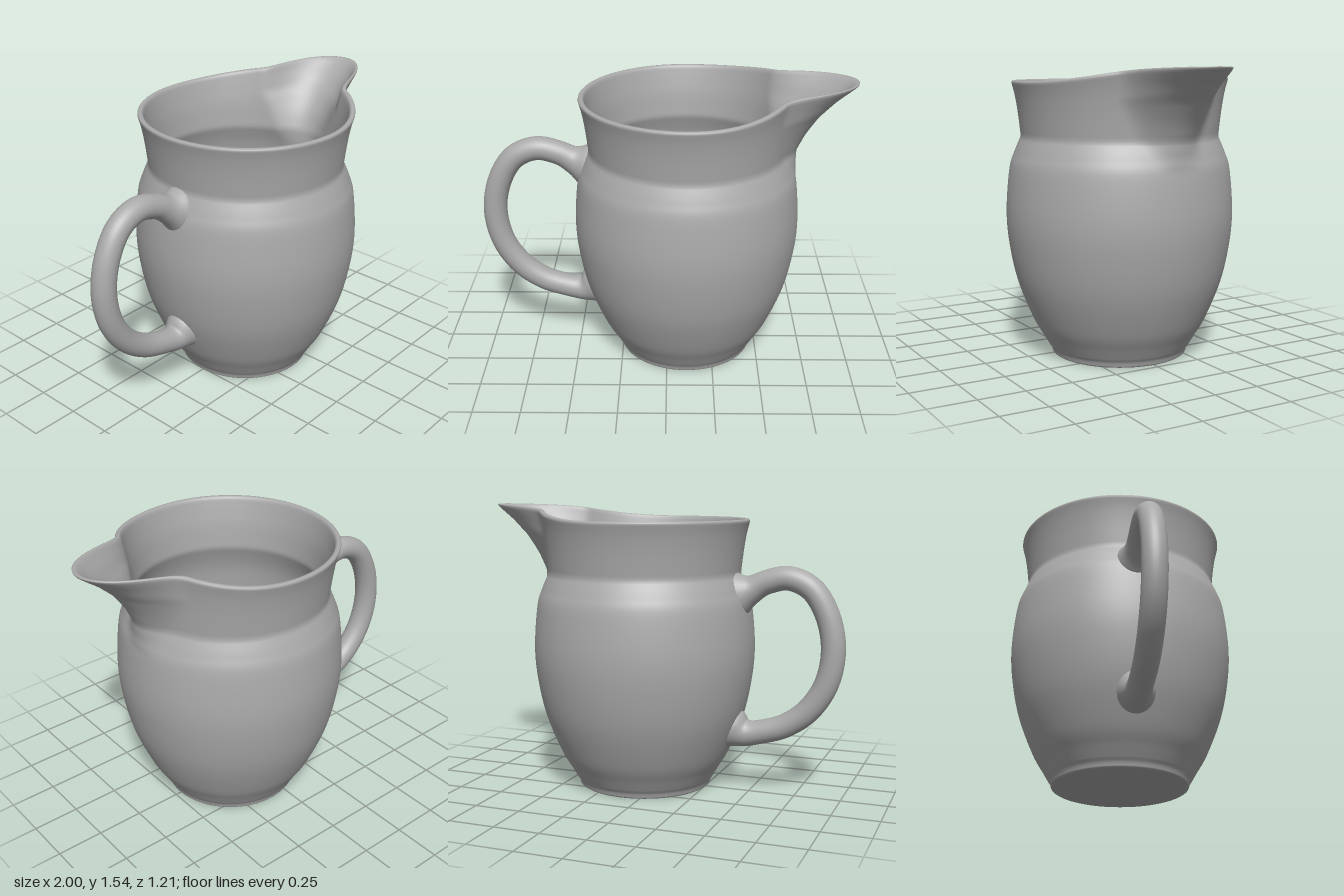
import * as THREE from 'three';
import { mergeVertices } from 'three/addons/utils/BufferGeometryUtils.js';

const CENTRE_X = 0.105;
const glaze = new THREE.MeshStandardMaterial({ color: 0xaaaaaa });
glaze.name = 'grey glaze';

const V2 = (p) => new THREE.Vector2(p[0], p[1]);
const V3 = (p) => new THREE.Vector3(p[0], p[1], 0);
const smooth = (pts, n) => new THREE.SplineCurve(pts.map(V2)).getPoints(n);

// Piecewise linear lookup in a list of [key, value] pairs
function lookup(table, k) {
  if (k <= table[0][0]) return table[0][1];
  for (let i = 1; i < table.length; i++) {
    const [a, va] = table[i - 1], [b, vb] = table[i];
    if (k <= b) return va + ((vb - va) * (k - a)) / (b - a);
  }
  return table[table.length - 1][1];
}

// How far the spout swells out at each height
const spoutReach = [
  [1.03, 0], [1.1, 0.022], [1.17, 0.055], [1.25, 0.095], [1.33, 0.155],
  [1.4, 0.235], [1.435, 0.285], [1.465, 0.325],
];

// Pulls the spout out of the round body and raises the rim towards it
function shapeSpout(geometry) {
  const pos = geometry.attributes.position;
  for (let i = 0; i < pos.count; i++) {
    const x = pos.getX(i), y = pos.getY(i), z = pos.getZ(i);
    if (y < 1.03) continue;
    const r = Math.hypot(x, z), angle = Math.abs(Math.atan2(z, x));
    const width = THREE.MathUtils.degToRad(THREE.MathUtils.mapLinear(Math.min(y, 1.35), 1.03, 1.35, 14, 32));
    const bump = angle < width ? 0.5 * (1 + Math.cos((Math.PI * angle) / width)) : 0;
    const k = (r + lookup(spoutReach, y) * bump) / r;
    const rise = Math.pow(Math.max(0, 0.5 * (1 + Math.cos(Math.min(Math.PI, angle * 1.9)))), 1.5);
    const t = THREE.MathUtils.clamp((y - 1.17) / 0.295, 0, 1);
    pos.setXYZ(i, x * k, y + 0.075 * rise * t, z * k);
  }
}

// Jug wall: foot, belly, neck, rounded rim and hollow inside in one profile
function makeBody() {
  const profile = [
    ...[[0, 0], [0.35, 0], [0.358, 0], [0.364, 0.004], [0.366, 0.01], [0.369, 0.025], [0.376, 0.036]].map(V2),
    ...smooth([[0.383, 0.045], [0.415, 0.1], [0.472, 0.2], [0.55, 0.4], [0.592, 0.6], [0.605, 0.78],
      [0.587, 1.0], [0.56, 1.09], [0.528, 1.165]], 48),
    ...smooth([[0.525, 1.18], [0.539, 1.3], [0.554, 1.39], [0.57, 1.452]], 16),
    ...[[0.569, 1.459], [0.564, 1.464], [0.556, 1.465], [0.548, 1.464], [0.542, 1.459]].map(V2),
    ...smooth([[0.538, 1.448], [0.523, 1.38], [0.508, 1.3], [0.495, 1.18]], 16),
    ...smooth([[0.498, 1.165], [0.53, 1.07], [0.548, 0.97], [0.56, 0.78], [0.547, 0.6], [0.505, 0.4],
      [0.43, 0.2], [0.348, 0.062]], 40),
    ...[[0.345, 0.058], [0.338, 0.057], [0, 0.057]].map(V2),
  ];
  const lathe = new THREE.LatheGeometry(profile, 160, -Math.PI / 2);
  lathe.deleteAttribute('uv');
  lathe.deleteAttribute('normal');
  const geometry = mergeVertices(lathe, 1e-5);
  shapeSpout(geometry);
  geometry.computeVertexNormals();
  const body = new THREE.Mesh(geometry, glaze);
  body.name = 'jugBody';
  body.position.x = CENTRE_X;
  return body;
}

// Looped handle whose ends flare where they meet the belly
function makeHandle() {
  const path = new THREE.CatmullRomCurve3([
    [-0.437, 1.077], [-0.5, 1.1], [-0.58, 1.14], [-0.7, 1.165], [-0.82, 1.115], [-0.907, 0.98], [-0.942, 0.8],
    [-0.91, 0.62], [-0.82, 0.475], [-0.7, 0.383], [-0.58, 0.34], [-0.48, 0.323], [-0.41, 0.343],
  ].map(V3));
  const along = 120, around = 28;
  const geometry = new THREE.TubeGeometry(path, along, 0.064, around, false);
  const pos = geometry.attributes.position, p = new THREE.Vector3();
  const length = path.getLength();
  for (let i = 0; i <= along; i++) {
    const u = i / along, c = path.getPointAt(u);
    const flareTop = 0.85 * Math.exp(-Math.pow((u * length) / 0.055, 1.5));
    const flareLow = 0.75 * Math.exp(-Math.pow(((1 - u) * length) / 0.055, 1.5));
    const k = 1 + flareTop + flareLow;
    for (let j = 0; j <= around; j++) {
      const n = i * (around + 1) + j;
      p.fromBufferAttribute(pos, n).sub(c).multiplyScalar(k);
      // the flare is taller than it is wide
      p.z *= 1 - 0.25 * (1 - 1 / k);
      p.add(c);
      pos.setXYZ(n, p.x, p.y, p.z);
    }
  }
  geometry.deleteAttribute('uv');
  geometry.deleteAttribute('normal');
  const welded = mergeVertices(geometry, 1e-5);
  welded.computeVertexNormals();
  const handle = new THREE.Mesh(welded, glaze);
  handle.name = 'handle';
  return handle;
}

export function createModel() {
  const jug = new THREE.Group();
  jug.name = 'jug';
  jug.add(makeBody(), makeHandle());
  return jug;
}
